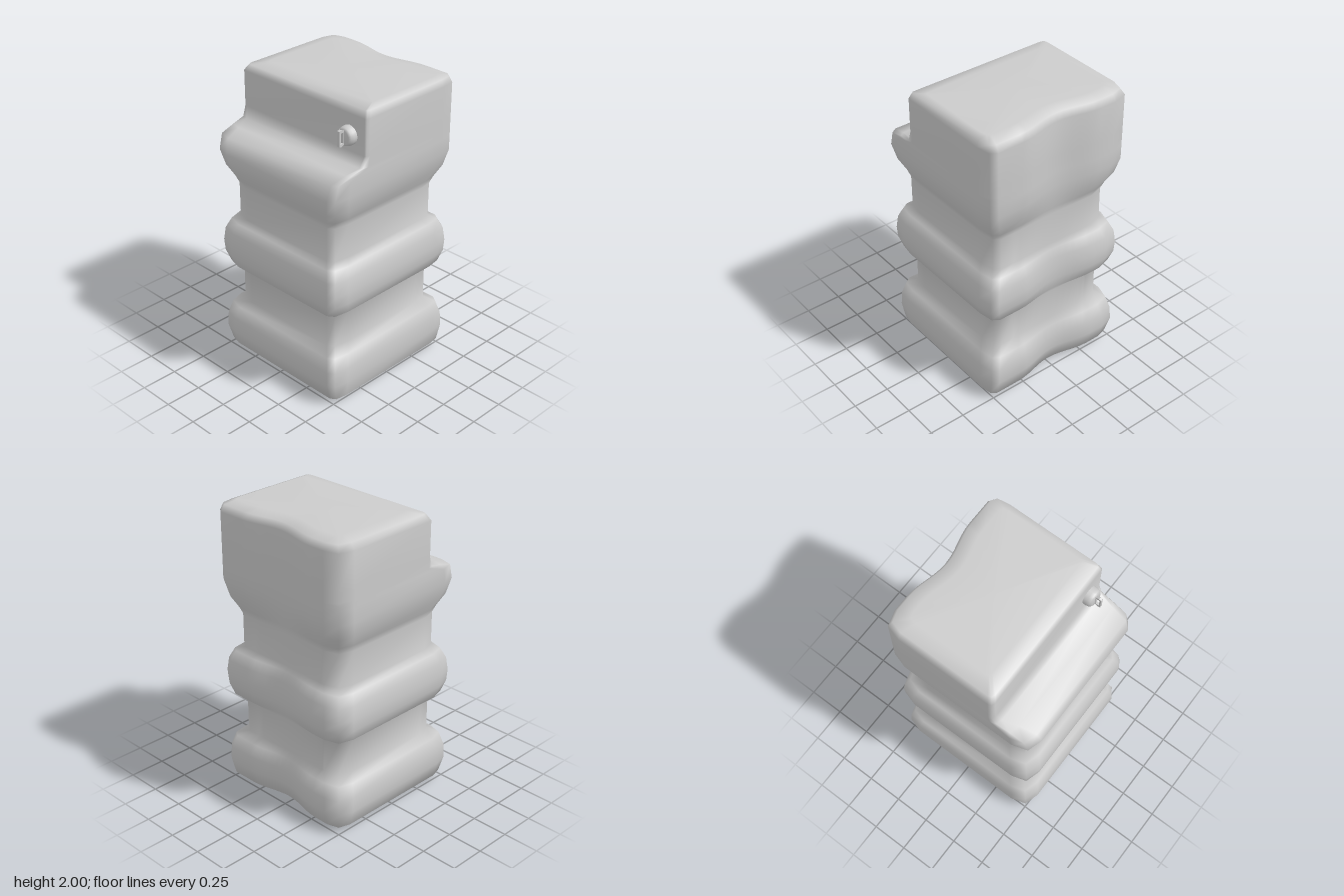
import * as THREE from 'three';

const material = new THREE.MeshStandardMaterial({ color: 0xcccccc });

// Horizontal sections: [y, left x, right x, front z, back z, front corner, back corner, back dent]
const sections = [
  [0.00, 0.42, 0.48, 0.41, 0.41, 0.35, 0.35, 0.05],
  [0.04, 0.51, 0.525, 0.51, 0.51, 0.8, 0.8, 0.05],
];
// Symmetric profile of the ribs and waists: [y, half width]
const profile = [
  [0.15, 0.54], [0.25, 0.535], [0.34, 0.51], [0.38, 0.45],
  [0.61, 0.45], [0.66, 0.51], [0.74, 0.535], [0.82, 0.54],
  [0.91, 0.53], [0.98, 0.5], [1.01, 0.457], [1.24, 0.457],
  [1.29, 0.475], [1.37, 0.515], [1.48, 0.54],
];
for (const [y, h] of profile) {
  const dent = 0.005 + 0.045 * (h - 0.45) / 0.09;
  sections.push([y, h, h, h, h, 1, 1, dent]);
}
// Shoulder step at the front and the upper block
sections.push(
  [1.58, 0.54, 0.54, 0.51, 0.54, 0.9, 1, 0.05],
  [1.61, 0.54, 0.54, 0.40, 0.54, 0.7, 1, 0.05],
  [1.63, 0.54, 0.54, 0.30, 0.54, 0.4, 1, 0.05],
  [1.70, 0.54, 0.54, 0.27, 0.54, 0.25, 1, 0.05],
  [1.94, 0.54, 0.54, 0.27, 0.54, 0.25, 1, 0.05],
  [1.983, 0.51, 0.525, 0.25, 0.515, 0.25, 0.8, 0.05],
  [2.00, 0.42, 0.48, 0.16, 0.43, 0.25, 0.4, 0.05],
);

// One closed outline, counter-clockwise seen from above
function outline([y, xl, xr, zf, zb, kf, kb, dent]) {
  const pts = [];
  const add = (x, z) => pts.push([x, y, z]);
  // inset pairs along x and z for the broad left and tight right corners
  const left = [[0, 0.13], [0.03, 0.03], [0.13, 0]];
  const right = [[0.06, 0], [0.016, 0.03], [0, 0.13]];
  for (const [a, b] of left) add(-xl + a * kf, zf - b * kf);
  for (const [a, b] of right) add(xr - a * kf, zf - b * kf);
  for (const [a, b] of [...right].reverse()) add(xr - a * kb, -zb + b * kb);
  // shallow hollow down the middle of the back
  for (let i = 0; i <= 12; i++) {
    const x = 0.3 - i * 0.05;
    add(x, -zb + dent * 0.5 * (1 + Math.cos(Math.PI * x / 0.3)));
  }
  for (const [a, b] of [...left].reverse()) add(-xl + a * kb, -zb + b * kb);
  return pts;
}

function loft(rings) {
  const n = rings[0].length;
  const positions = rings.flat(2);
  const index = [];
  for (let i = 0; i < rings.length - 1; i++) {
    for (let j = 0; j < n; j++) {
      const a = i * n + j, b = i * n + (j + 1) % n;
      index.push(a, b, b + n, a, b + n, a + n);
    }
  }
  // flat end caps
  const cap = (ring, start, flip) => {
    const centre = positions.length / 3;
    const z = (ring[0][2] + ring[n - 1][2]) / 2;
    positions.push(0, ring[0][1], z);
    for (let j = 0; j < n; j++) {
      const a = start + j, b = start + (j + 1) % n;
      if (flip) index.push(b, a, centre);
      else index.push(a, b, centre);
    }
  };
  cap(rings[0], 0, true);
  cap(rings[rings.length - 1], (rings.length - 1) * n, false);
  const geometry = new THREE.BufferGeometry();
  geometry.setAttribute('position', new THREE.Float32BufferAttribute(positions, 3));
  geometry.setIndex(index);
  geometry.computeVertexNormals();
  return geometry;
}

function createTap() {
  const tap = new THREE.Group();
  tap.name = 'tap';

  // round body, turned to face forwards
  const body = [[0.063, -0.02], [0.063, 0.025], [0.058, 0.045], [0.045, 0.057], [0, 0.057]];
  const bodyMesh = new THREE.Mesh(
    new THREE.LatheGeometry(body.map(([r, h]) => new THREE.Vector2(r, h)), 20).rotateX(Math.PI / 2),
    material);
  bodyMesh.name = 'tapBody';

  // thin upright loop handle
  const loop = new THREE.Shape();
  loop.moveTo(0.045, -0.04).lineTo(0.08, -0.055).lineTo(0.095, -0.05)
    .lineTo(0.095, 0.05).lineTo(0.08, 0.055).lineTo(0.045, 0.04).closePath();
  const hole = new THREE.Path();
  hole.moveTo(0.06, -0.036).lineTo(0.06, 0.036).lineTo(0.084, 0.036).lineTo(0.084, -0.036).closePath();
  loop.holes.push(hole);
  const handle = new THREE.Mesh(
    new THREE.ExtrudeGeometry(loop, { depth: 0.018, bevelEnabled: false })
      .translate(0, 0, -0.009).rotateY(-Math.PI / 2),
    material);
  handle.name = 'tapHandle';

  tap.add(bodyMesh, handle);
  tap.position.set(0.405, 1.803, 0.27);
  return tap;
}

export function createModel() {
  const model = new THREE.Group();
  model.name = 'waterTank';
  const tank = new THREE.Mesh(loft(sections.map(outline)), material);
  tank.name = 'tankBody';
  model.add(tank, createTap());
  return model;
}
